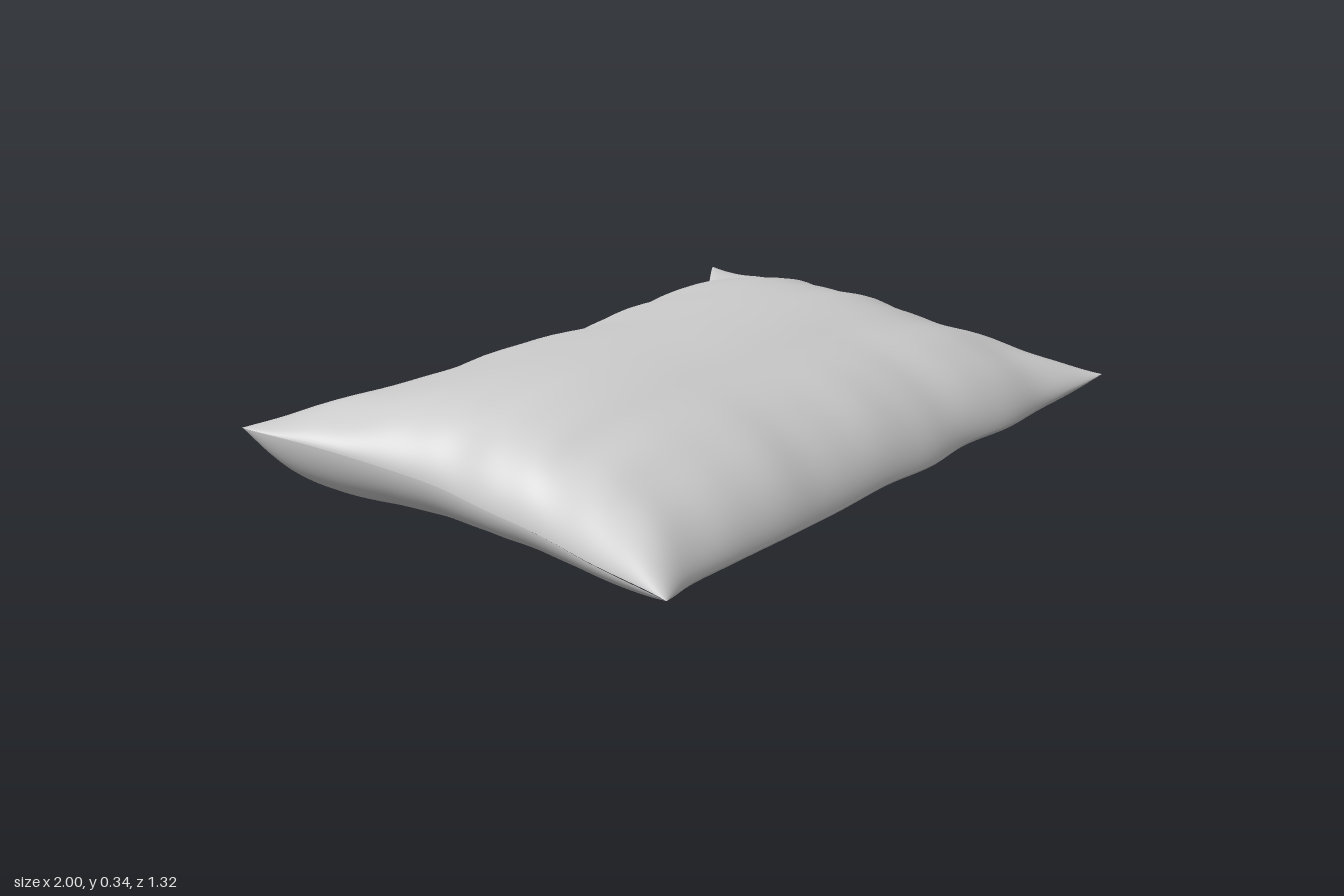
import * as THREE from 'three';

const N = 72;
const seam = (...pts) => new THREE.CatmullRomCurve3(pts.map((p) => new THREE.Vector3(...p)));

// Seam edges, evenly spaced along each side, corner to corner
const front = seam([-1, 0.07, 0.655], [-0.84, 0.055, 0.605], [-0.62, 0.04, 0.585], [-0.4, 0.035, 0.58], [-0.2, 0.03, 0.57],
  [0, 0.035, 0.565], [0.2, 0.03, 0.57], [0.38, 0.04, 0.56], [0.57, 0.045, 0.58], [0.78, 0.055, 0.575], [1, 0.08, 0.61]);
const back = seam([-1, 0.2, -0.64], [-0.82, 0.19, -0.6], [-0.61, 0.175, -0.555], [-0.4, 0.165, -0.545], [-0.2, 0.16, -0.54],
  [-0.02, 0.165, -0.51], [0.15, 0.16, -0.535], [0.32, 0.165, -0.55], [0.53, 0.18, -0.57], [0.69, 0.18, -0.54], [0.91, 0.205, -0.66]);
const rightSide = seam([-1, 0.2, -0.64], [-0.965, 0.185, -0.46], [-0.925, 0.16, -0.26], [-0.905, 0.14, -0.1],
  [-0.915, 0.12, 0.06], [-0.92, 0.1, 0.22], [-0.955, 0.08, 0.42], [-1, 0.07, 0.655]);
const leftSide = seam([0.91, 0.205, -0.66], [0.9, 0.185, -0.46], [0.885, 0.15, -0.26], [0.86, 0.13, -0.1],
  [0.865, 0.11, 0.06], [0.88, 0.1, 0.22], [0.935, 0.08, 0.42], [1, 0.08, 0.61]);

// Height of the crown from back to front
const crown = new THREE.CatmullRomCurve3([[-1, 0.26], [-0.6, 0.312], [-0.2, 0.335], [0.2, 0.32], [0.6, 0.268], [1, 0.2]]
  .map(([v, y]) => new THREE.Vector3(v, y, 0)));

const swell = (a, power, root) => Math.pow(Math.max(0, 1 - Math.pow(Math.abs(a), power)), root);

// Fill the seam outline with a smooth patch
function patchPoint(s, t) {
  const p = new THREE.Vector3();
  p.addScaledVector(back.getPoint(s), 1 - t).addScaledVector(front.getPoint(s), t);
  p.addScaledVector(rightSide.getPoint(t), 1 - s).addScaledVector(leftSide.getPoint(t), s);
  p.addScaledVector(back.getPoint(0), -(1 - s) * (1 - t)).addScaledVector(back.getPoint(1), -s * (1 - t));
  p.addScaledVector(front.getPoint(0), -(1 - s) * t).addScaledVector(front.getPoint(1), -s * t);
  return p;
}

// Puckers run in from the seam and fade towards the middle
function pucker(u, v) {
  const ends = Math.pow(Math.abs(u), 6) * (1 - u * u) * (Math.sin(v * 11 + u) + 0.6 * Math.sin(v * 23));
  const sides = Math.pow(Math.abs(v), 6) * (1 - v * v) * (Math.sin(u * 13 + v) + 0.5 * Math.sin(u * 29));
  return 0.035 * (ends + sides);
}

function shell(isTop) {
  const positions = [], index = [];
  for (let j = 0; j <= N; j++) {
    for (let i = 0; i <= N; i++) {
      // Rows crowd towards the seam, where the curve is tightest
      const s = (1 - Math.cos((Math.PI * i) / N)) / 2, t = (1 - Math.cos((Math.PI * j) / N)) / 2;
      const u = 2 * s - 1, v = 2 * t - 1;
      const p = patchPoint(s, t);
      if (isTop) {
        p.y += (crown.getPoint(t).y - p.y) * swell(u, 5, 0.6) * swell(v, 6, 0.6) + pucker(u, v);
      } else {
        p.y *= 1 - swell(u, 9, 0.6) * swell(v, 10, 0.6);
        // Crumpled tuck under the back left corner
        const d = Math.hypot(p.x - 0.8, p.z + 0.53);
        const edge = Math.min(1, 12 * Math.min(1 - Math.abs(u), 1 - Math.abs(v)));
        p.y += 0.025 * edge * Math.exp(-d * d * 90) * (1 + Math.sin(p.x * 70 + p.z * 40));
        p.y = Math.max(0, p.y + 0.3 * pucker(u, v));
      }
      positions.push(p.x, p.y, p.z);
      if (i < N && j < N) {
        const a = j * (N + 1) + i, b = a + 1, c = a + N + 1, e = c + 1;
        if (isTop) index.push(a, c, b, b, c, e);
        else index.push(a, b, c, b, e, c);
      }
    }
  }
  const geometry = new THREE.BufferGeometry();
  geometry.setAttribute('position', new THREE.Float32BufferAttribute(positions, 3));
  geometry.setIndex(index);
  geometry.computeVertexNormals();
  return geometry;
}

export function createModel() {
  const fabric = new THREE.MeshStandardMaterial({ color: 0xcccccc });
  fabric.name = 'light grey fabric';
  const pillow = new THREE.Group();
  pillow.name = 'pillow';
  for (const [name, isTop] of [['pillowTop', true], ['pillowUnderside', false]]) {
    const mesh = new THREE.Mesh(shell(isTop), fabric);
    mesh.name = name;
    pillow.add(mesh);
  }
  return pillow;
}
